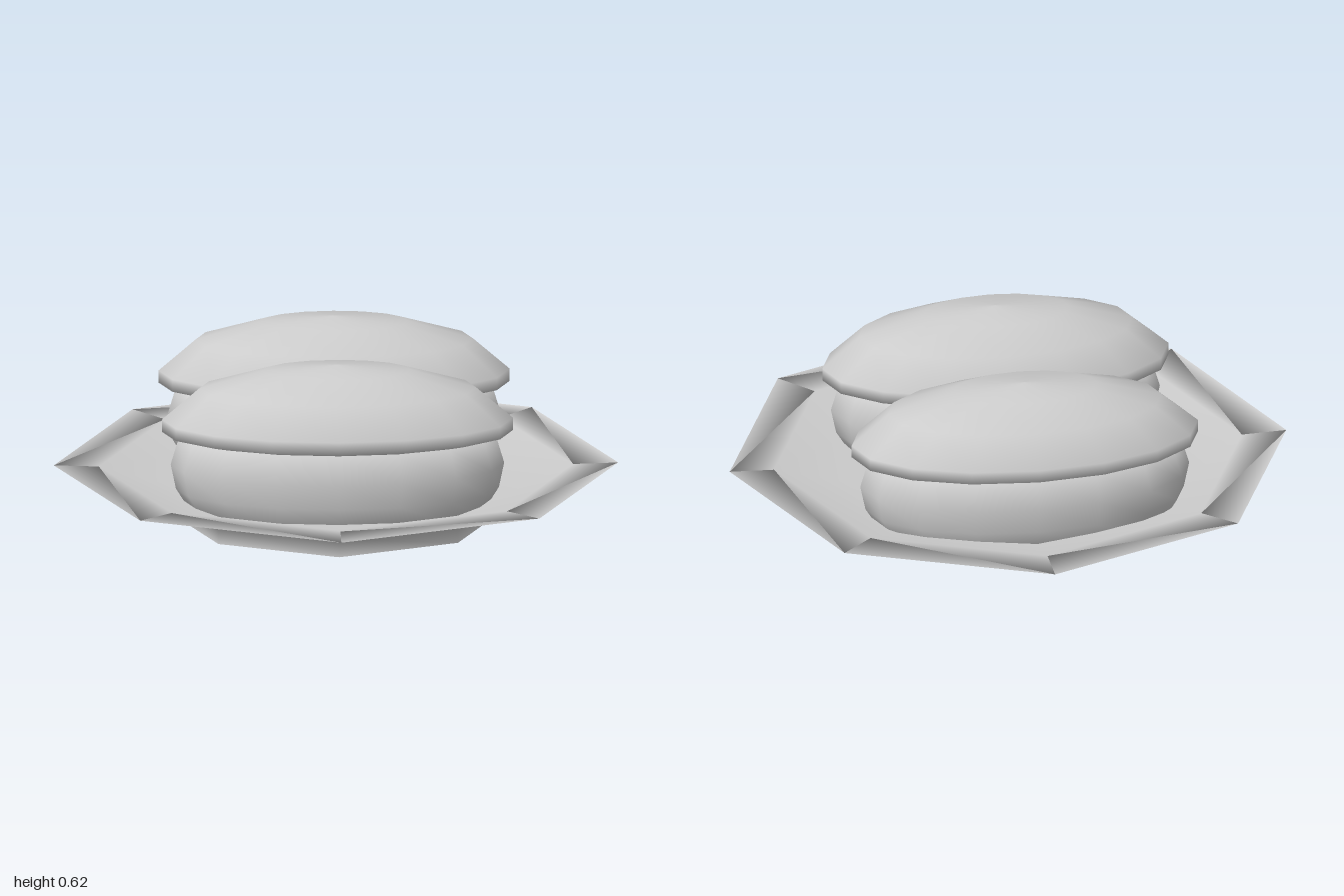
import * as THREE from 'three';

// Revolved profile of [radius, y] points, listed from the bottom up
function revolve(name, profile, sides, material) {
  const points = profile.map(([r, y]) => new THREE.Vector2(r, y));
  const mesh = new THREE.Mesh(new THREE.LatheGeometry(points, sides), material);
  mesh.name = name;
  return mesh;
}

export function createModel() {
  const model = new THREE.Group();
  model.name = 'plateOfBuns';
  const grey = new THREE.MeshStandardMaterial({ color: 0xcccccc });
  const thin = new THREE.MeshStandardMaterial({ color: 0xcccccc, side: THREE.DoubleSide });

  // Eight-sided plate: open foot, flared underside, rim and shallow floor
  model.add(revolve('plate', [
    [0.6, 0], [0.6, 0.065], [1, 0.17], [0.84, 0.165], [0.6, 0.1], [0, 0.1],
  ], 8, thin));

  // Oval buns: profiles are fractions of the oval, stretched along x
  const lower = [
    [0, 0.04], [0.72, 0.05], [0.85, 0.09], [0.92, 0.16],
    [0.95, 0.25], [0.9, 0.355], [0.6, 0.38], [0, 0.38],
  ];
  const upper = [
    [0, 0.36], [0.88, 0.355], [1, 0.37], [1, 0.415],
    [0.79, 0.528], [0.42, 0.594], [0, 0.615],
  ];
  for (const [side, z] of [['front', 0.268], ['back', -0.355]]) {
    const bun = new THREE.Group();
    bun.name = side + 'Bun';
    bun.add(revolve('lowerHalf', lower, 16, grey), revolve('upperHalf', upper, 16, grey));
    bun.scale.set(0.622, 1, 0.31);
    bun.position.z = z;
    model.add(bun);
  }
  return model;
}
